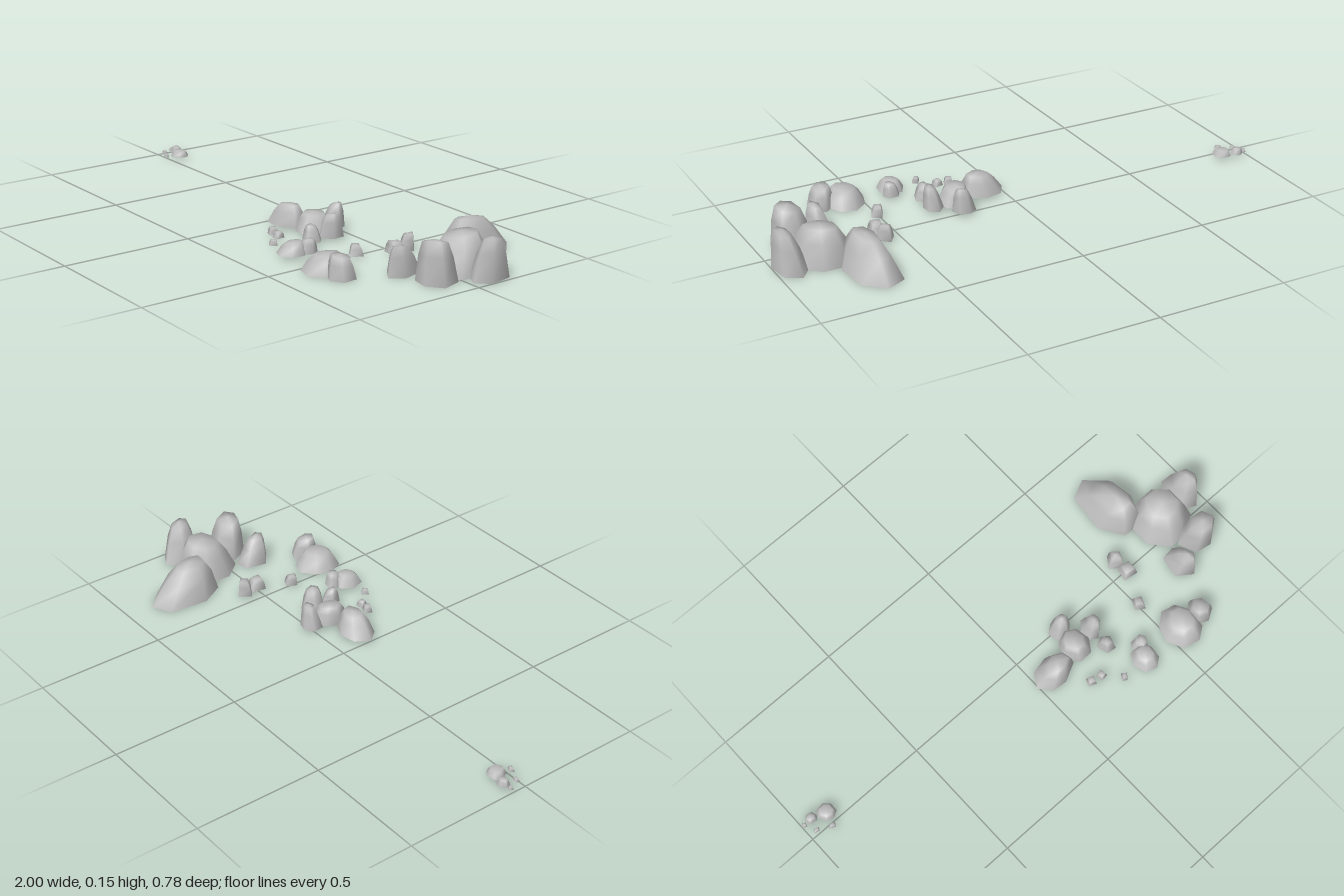
import * as THREE from 'three';

// Small seeded generator for uneven outlines
function seeded(seed) {
  let s = seed * 7919 + 13;
  return () => (s = (s * 16807) % 2147483647) / 2147483647;
}

// One rock shell, open underneath: an uneven footprint tapered through rings to a tilted top
function rockGeometry({ hx, hz, h, n, rot, lx, lz, t }, seed) {
  const rand = seeded(seed);
  rand();
  const pts = [];
  for (let i = 0; i < n; i++) {
    const a = rot + ((i + (rand() - 0.5) * 0.25) / n) * Math.PI * 2;
    const r = 0.93 + rand() * 0.14;
    pts.push([Math.sin(a) * r, Math.cos(a) * r]);
  }
  // Fit the footprint to the half sizes
  [hx, hz].forEach((half, k) => {
    const v = pts.map((p) => p[k]);
    const lo = Math.min(...v), hi = Math.max(...v);
    pts.forEach((p) => { p[k] = ((p[k] - lo) / (hi - lo) * 2 - 1) * half; });
  });

  const rings = [[0, 1], [0.6, 1 + (t - 1) * 0.6 + 0.05], [0.93, t]];
  const pos = [], idx = [];
  for (const [f, r] of rings) {
    for (const [x, z] of pts) {
      const tilt = f * 0.09 * (Math.sign(lx) * x / hx + Math.sign(lz) * z / hz);
      pos.push(x * r + lx * hx * f, h * Math.min(1, f + tilt * r), z * r + lz * hz * f);
    }
  }
  const apex = rings.length * n;
  pos.push(lx * hx, h * 0.99, lz * hz);
  for (let k = 0; k < rings.length; k++) {
    for (let i = 0; i < n; i++) {
      const j = (i + 1) % n, a = k * n + i, b = k * n + j;
      if (k === rings.length - 1) idx.push(a, b, apex);
      else idx.push(a, b, b + n, a, b + n, a + n);
    }
  }
  const shell = new THREE.BufferGeometry();
  shell.setAttribute('position', new THREE.Float32BufferAttribute(pos, 3));
  shell.setIndex(idx);
  shell.computeVertexNormals();
  return shell;
}

export function createModel() {
  const stone = new THREE.MeshStandardMaterial({ color: 0xbcbcbc, side: THREE.DoubleSide });
  stone.name = 'greyStone';
  const model = new THREE.Group();
  model.name = 'scatteredRocks';
  let seed = 1;

  // Rows: x, z, half width, half depth, height, sides, rotation, lean x, lean z, top size
  function cluster(name, y, rows) {
    const group = new THREE.Group();
    group.name = name;
    group.position.y = y;
    for (const [x, z, hx, hz, h, n, rot, lx, lz, t] of rows) {
      const rock = new THREE.Mesh(rockGeometry({ hx, hz, h, n, rot, lx, lz, t }, seed++), stone);
      rock.name = 'rock';
      rock.position.set(x, 0, z);
      group.add(rock);
    }
    model.add(group);
  }

  cluster('largeRocks', 0, [
    [0.7, -0.25, 0.09, 0.143, 0.137, 7, Math.PI, 0.05, 0.26, 0.42],
    [0.81, -0.065, 0.105, 0.11, 0.138, 8, 0.4, 0.05, -0.1, 0.52],
    [0.94, -0.097, 0.06, 0.083, 0.155, 6, 0.2, 0.35, 0.1, 0.45],
    [0.865, 0.073, 0.075, 0.065, 0.155, 6, 0.3, 0.08, 0.22, 0.6],
    [0.74, 0.118, 0.048, 0.067, 0.11, 5, 0.1, 0.2, 0.3, 0.45],
  ]);
  cluster('frontRocks', 0, [
    [0.56, 0.302, 0.08, 0.09, 0.066, 8, 0.2, 0.05, 0, 0.52],
    [0.655, 0.306, 0.046, 0.053, 0.085, 6, 0.1, -0.1, 0.1, 0.65],
  ]);
  cluster('middleRocks', 0.005, [
    [0.557, -0.053, 0.035, 0.038, 0.06, 4, 0.2, 0.1, -0.1, 0.6],
    [0.566, 0.003, 0.032, 0.032, 0.045, 4, 0.7, 0, 0.1, 0.6],
    [0.507, 0.133, 0.028, 0.031, 0.04, 4, 0.4, -0.1, 0, 0.6],
  ]);
  cluster('smallRocks', 0.01, [
    [0.37, 0.31, 0.051, 0.056, 0.045, 7, 0.1, 0.05, -0.1, 0.52],
    [0.393, 0.257, 0.033, 0.03, 0.052, 6, 0.5, 0.15, 0, 0.6],
    [0.263, 0.31, 0.018, 0.017, 0.022, 4, 0.2, 0, 0, 0.65],
    [0.16, 0.24, 0.021, 0.02, 0.028, 4, 0.3, 0, 0, 0.65],
    [0.202, 0.247, 0.018, 0.018, 0.024, 4, 0.9, 0, 0, 0.65],
    [0.076, 0.116, 0.085, 0.061, 0.081, 7, 0.25, 0.25, 0.05, 0.5],
    [0.21, 0.09, 0.062, 0.066, 0.07, 7, 0.4, -0.1, 0, 0.6],
    [0.212, 0.01, 0.043, 0.041, 0.093, 6, 0.2, 0.25, -0.1, 0.5],
    [0.3, 0.084, 0.036, 0.049, 0.09, 6, 0.1, 0.3, 0.1, 0.52],
    [0.302, 0.168, 0.033, 0.036, 0.06, 5, 0.5, -0.1, 0.1, 0.5],
  ]);
  cluster('distantPebbles', 0.012, [
    [-0.9, -0.041, 0.034, 0.034, 0.024, 7, 0.2, 0, 0, 0.65],
    [-0.956, -0.062, 0.024, 0.021, 0.025, 6, 0.3, 0, 0, 0.6],
    [-0.99, -0.058, 0.01, 0.012, 0.012, 4, 0.4, 0, 0, 0.65],
    [-0.968, -0.014, 0.013, 0.009, 0.012, 4, 0.6, 0, 0, 0.65],
    [-0.916, 0.011, 0.016, 0.012, 0.014, 4, 0.3, 0, 0, 0.65],
  ]);
  return model;
}
